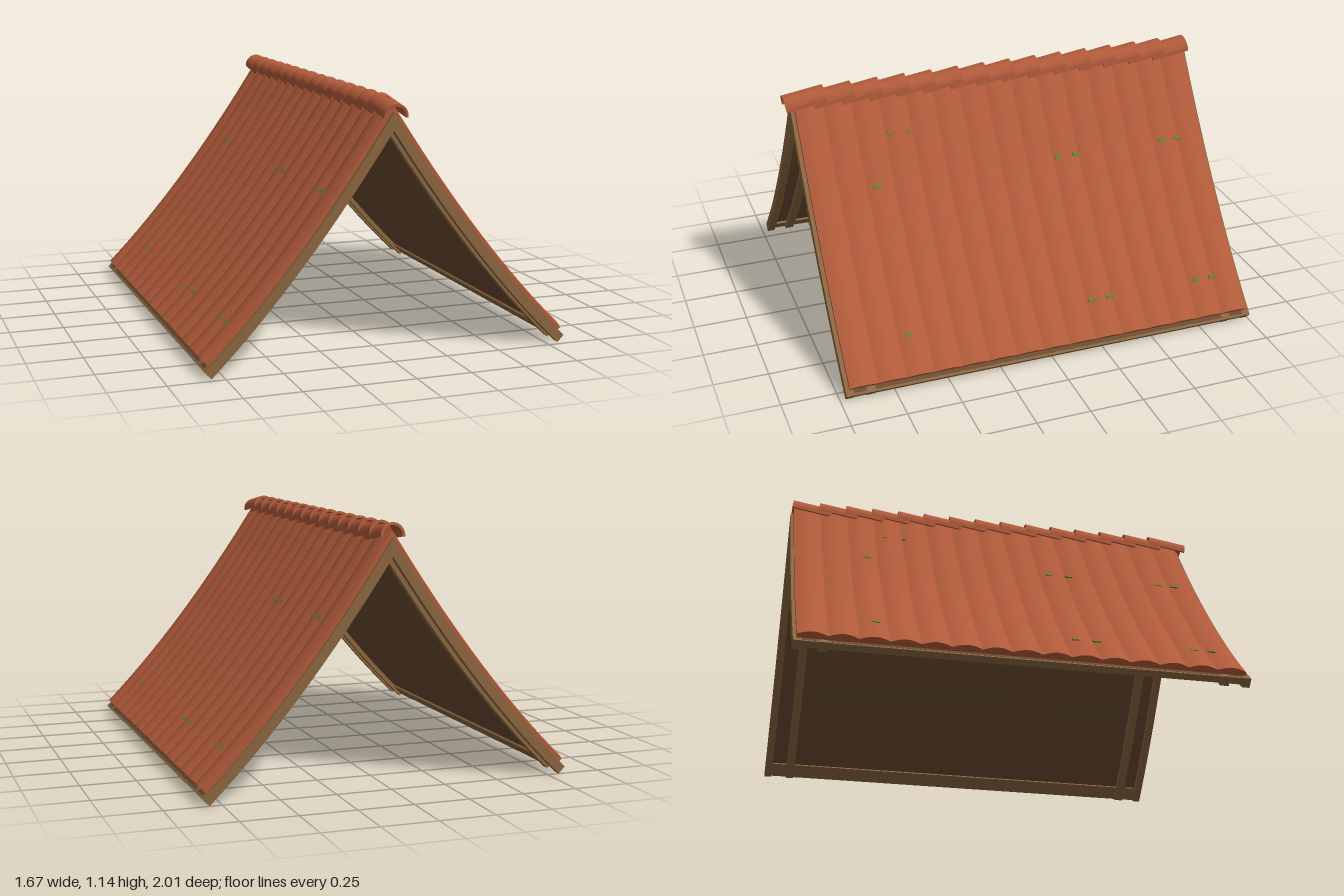
import * as THREE from 'three';
import { toCreasedNormals } from 'three/addons/utils/BufferGeometryUtils.js';

const RUN = 0.805, RISE = 1.0, SAG = 0.055;
const COLUMNS = 15, CAP_PITCH = 0.129, CAP_LENGTH = 0.19;

const slopeAt = (t) => -(RISE + 4 * SAG * (1 - 2 * t)) / RUN;

// Point on the sagging slope at t (0 ridge, 1 eave), raised d along its normal
function onSlope(t, d) {
  const m = slopeAt(t), len = Math.hypot(1, m);
  const y = RISE * (1 - t) - 4 * SAG * t * (1 - t);
  if (t < 0.001) return [0, y + d * len];
  return [RUN * t - (m / len) * d, y + d / len];
}

// Curved board following the slope on side s, between depths d0 and d1
function slab(s, t0, t1, d0, d1, z0, z1) {
  const n = 16, pts = [];
  for (let i = 0; i <= n; i++) pts.push(onSlope(t0 + (t1 - t0) * i / n, d0));
  for (let i = n; i >= 0; i--) pts.push(onSlope(t0 + (t1 - t0) * i / n, d1));
  const shape = new THREE.Shape(pts.map(([x, y]) => new THREE.Vector2(s * x, y)));
  const geo = new THREE.ExtrudeGeometry(shape, { depth: z1 - z0, bevelEnabled: false });
  geo.translate(0, 0, z0);
  return toCreasedNormals(geo, 0.5);
}

// Rippled tile surface with a folded-down eave edge
function tileSheet(s, z0, z1) {
  const cols = COLUMNS * 6, rows = 17;
  const geo = new THREE.PlaneGeometry(1, 1, cols, rows);
  const pos = geo.attributes.position;
  for (let i = 0; i < pos.count; i++) {
    const c = i % (cols + 1), r = Math.floor(i / (cols + 1));
    const u = c / cols;
    const wave = 0.06 + 0.015 * Math.abs(Math.sin(u * COLUMNS * Math.PI));
    const t = 0.974 * Math.min(r / (rows - 1), 1);
    const [x, y] = onSlope(t, r === rows ? 0.044 : wave);
    pos.setXYZ(i, s * x, y, s > 0 ? z1 + (z0 - z1) * u : z0 + (z1 - z0) * u);
  }
  return toCreasedNormals(geo, 0.4);
}

export function createModel() {
  const model = new THREE.Group();
  const mat = (name, color) => {
    const m = new THREE.MeshStandardMaterial({ color });
    m.name = name;
    return m;
  };
  const clay = mat('terracotta', 0xb05a3a);
  const wood = mat('timber', 0x8a6640);
  const lining = mat('dark timber', 0x694b30);
  const moss = mat('moss green', 0x66802c);

  const add = (parent, name, geo, material) => {
    const mesh = new THREE.Mesh(geo, material);
    mesh.name = name;
    parent.add(mesh);
    return mesh;
  };

  for (const s of [1, -1]) {
    const side = new THREE.Group();
    side.name = s > 0 ? 'leftSlope' : 'rightSlope';
    model.add(side);

    // Tiles
    add(side, 'tileBed', slab(s, 0, 0.974, 0.043, 0.06, -0.985, 0.957), clay);
    add(side, 'tileSheet', tileSheet(s, -0.985, 0.957), clay);

    // Timber lining and eave beam
    add(side, 'lining', slab(s, 0, 0.99, 0.022, 0.042, -0.975, 0.95), lining);
    add(side, 'eaveBeam', slab(s, 0.94, 1, 0.012, 0.0415, -0.97, 0.945), wood);

    // Outer and inner rafters at both gables
    for (const [z0, z1] of [[0.94, 0.975], [0.84, 0.88], [-1.0, -0.965], [-0.895, -0.855]])
      add(side, 'rafter', slab(s, 0, 1, 0, 0.0425, z0, z1), wood);

    // Small moss patches
    const spots = [[0.1, 0.55], [0.1, 0.46]];
    for (const t of [0.265, 0.815])
      for (const z of [0.65, -0.23, -0.32, -0.77, -0.85]) spots.push([t, z]);
    for (const [t, z] of spots) {
      const [x, y] = onSlope(t, 0.074);
      const size = t < 0.2 ? 0.016 : 0.034;
      const patch = add(side, 'mossPatch', new THREE.BoxGeometry(0.016, 0.006, size), moss);
      patch.position.set(s * x, y, s * z);
      patch.rotation.z = s * Math.atan(slopeAt(t));
    }
  }

  // Overlapping half-round ridge caps, each tilted down to the front
  const arch = new THREE.Shape();
  arch.absarc(0, 0, 0.055, -0.1, Math.PI + 0.1, false);
  arch.absarc(0, 0, 0.043, Math.PI + 0.1, -0.1, true);
  const capGeo = toCreasedNormals(new THREE.ExtrudeGeometry(arch,
    { depth: CAP_LENGTH, bevelEnabled: false, curveSegments: 14 }), 0.5);
  for (let i = 0; i < COLUMNS; i++) {
    const cap = add(model, 'ridgeCap', capGeo, clay);
    cap.position.set(0, 1.09, 1 - i * CAP_PITCH - CAP_LENGTH);
    cap.rotation.x = 0.15;
  }
  return model;
}
